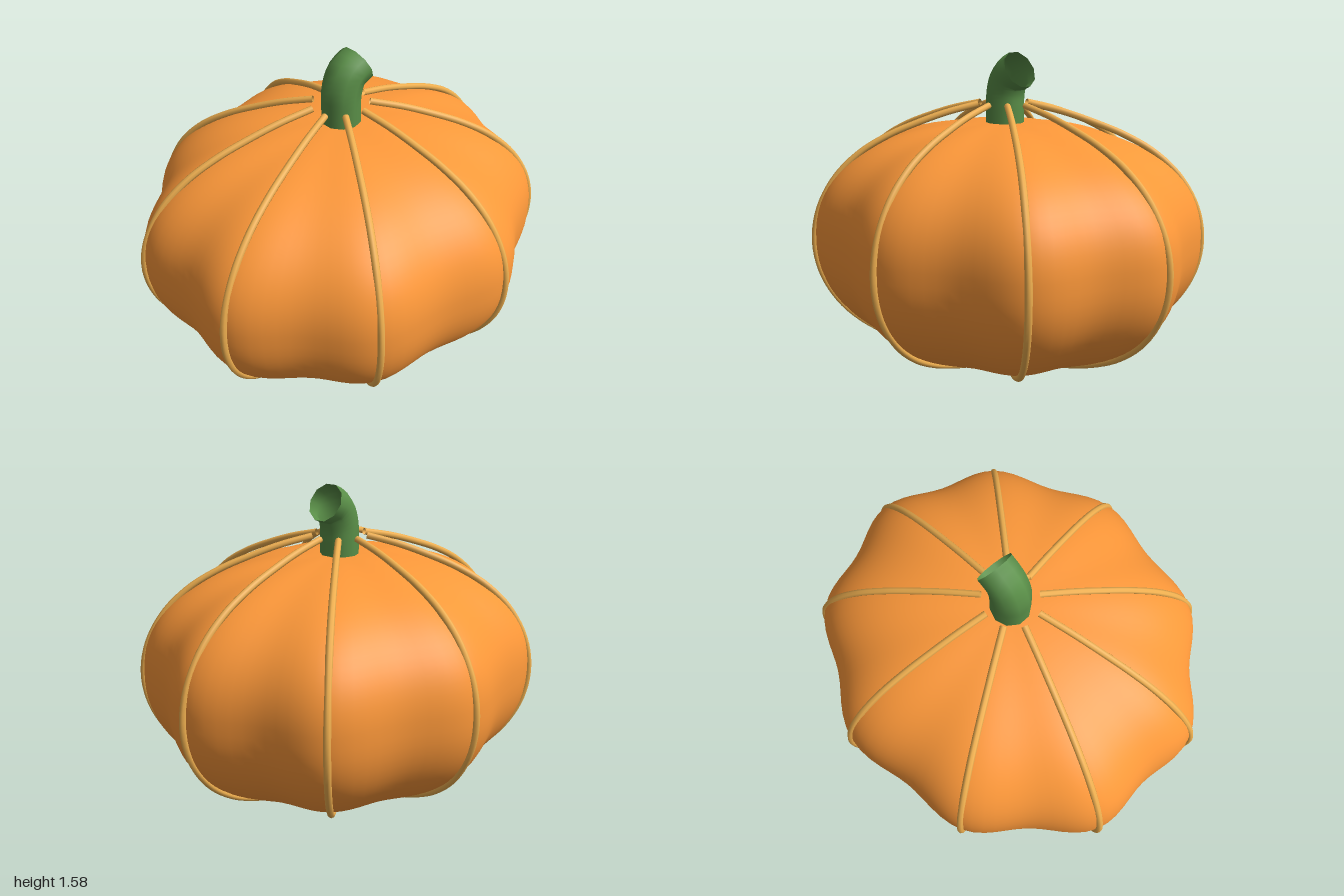
import * as THREE from 'three';
import { mergeVertices } from 'three/addons/utils/BufferGeometryUtils.js';

const LOBES = 9;
const CX = -0.03, RX = 1.013, RZ = 0.92, MID = 0.68;

const material = (color, side = THREE.FrontSide) =>
  new THREE.MeshStandardMaterial({ color, side });

function part(name, geometry, mat) {
  const mesh = new THREE.Mesh(geometry, mat);
  mesh.name = name;
  return mesh;
}

// Point on the oval plan: s is the relative radius, a the angle round the stem
const onPlan = (s, a, y) =>
  new THREE.Vector3(CX + RX * s * Math.cos(a), y, RZ * s * Math.sin(a));

// Squashed ball, flat on top and below, with a ridge under every rib
function bodyGeometry() {
  let g = new THREE.SphereGeometry(1, 108, 48);
  const pos = g.attributes.position;
  for (let i = 0; i < pos.count; i++) {
    const x = pos.getX(i), y = pos.getY(i), z = pos.getZ(i);
    const s = Math.min(1, Math.hypot(x, z)), a = Math.atan2(z, x);
    const [height, power] = y > 0 ? [0.57, 2.4] : [0.615, 2.15];
    const h = Math.abs(y) < 1e-6 ? 0 : height * Math.pow(1 - Math.pow(s, power), 1 / power);
    const lobe = 0.964 + 0.032 * Math.cos(LOBES * a);
    const p = onPlan(s * lobe, a, MID + Math.sign(y) * h);
    pos.setXYZ(i, p.x, p.y, p.z);
  }
  g.deleteAttribute('normal');
  g.deleteAttribute('uv');
  g = mergeVertices(g, 1e-5);
  g.computeVertexNormals();
  return g;
}

// Upper half of a rib: relative radius, height above the middle
const RIB = [[0.14, 0.66], [0.3, 0.624], [0.45, 0.577], [0.6, 0.52],
  [0.75, 0.438], [0.88, 0.32], [0.97, 0.165]];

function ribGeometry(a) {
  const profile = [...RIB, [1, 0], ...RIB.map(([s, h]) => [s, -h]).reverse()];
  const path = new THREE.CatmullRomCurve3(profile.map(([s, h]) => onPlan(s, a, MID + h)));
  return new THREE.TubeGeometry(path, 64, 0.016, 8);
}

export function createModel() {
  const model = new THREE.Group();
  model.name = 'pumpkin';
  model.add(part('body', bodyGeometry(), material(0xfe993a)));

  // Ribs running from top to bottom
  const ribs = new THREE.Group();
  ribs.name = 'ribs';
  const ribMaterial = material(0xf0b050, THREE.DoubleSide);
  for (let i = 0; i < LOBES; i++) {
    ribs.add(part('rib', ribGeometry((i / LOBES) * Math.PI * 2), ribMaterial));
  }
  model.add(ribs);

  // Hollow stem bent to the left
  const stemPath = new THREE.CatmullRomCurve3([
    [-0.027, 1.22], [-0.027, 1.31], [-0.023, 1.4], [0.008, 1.472], [0.075, 1.508],
  ].map(([x, y]) => new THREE.Vector3(x, y, 0)));
  model.add(part('stem', new THREE.TubeGeometry(stemPath, 14, 0.094, 10),
    material(0x5a8f48, THREE.DoubleSide)));

  return model;
}
